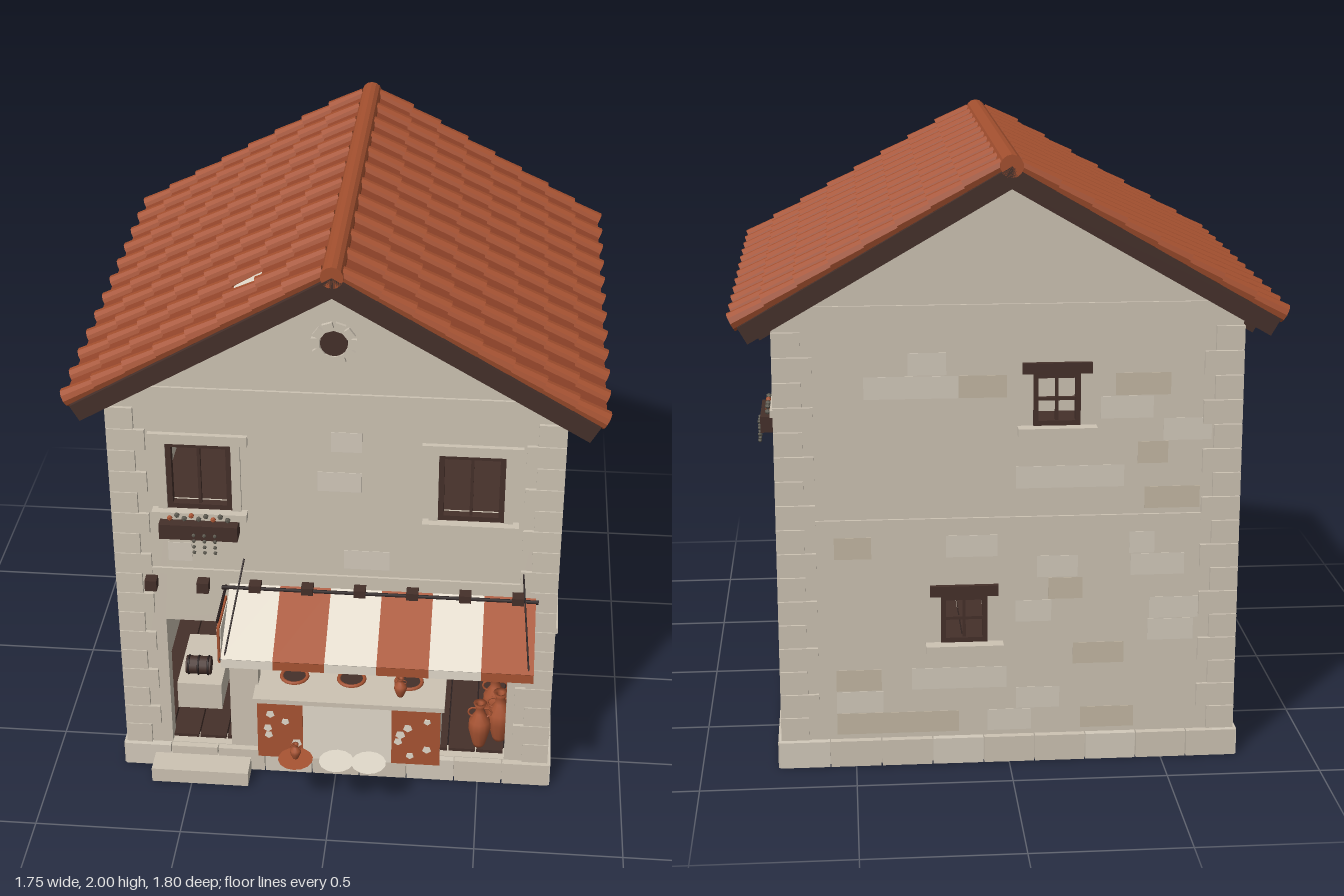
import * as THREE from 'three';
import { mergeGeometries } from 'three/addons/utils/BufferGeometryUtils.js';

const mat = (name, color, o = {}) => Object.assign(new THREE.MeshStandardMaterial({ color, ...o }), { name });
const M = {
  stone: mat('stone', 0xcdc3b3), stoneDark: mat('weatheredStone', 0xc4b8a4), stoneLight: mat('paleStone', 0xd3cabb),
  wood: mat('darkWood', 0x45302a), iron: mat('iron', 0x2a2020), roll: mat('coverTile', 0xa4502f, { flatShading: true }),
  pan: mat('panTile', 0x95462b), clay: mat('terracotta', 0xa85433), cream: mat('cream', 0xe2dacb), leaf: mat('leaf', 0x5d5a50),
};
const HALF = 0.73, ZC = -0.1; // body half width and its centre in z

function add(parent, name, geo, m, x = 0, y = 0, z = 0) {
  const mesh = new THREE.Mesh(geo, m);
  mesh.name = name;
  mesh.position.set(x, y, z);
  parent.add(mesh);
  return mesh;
}
const box = (p, name, m, w, h, d, x, y, z) => add(p, name, new THREE.BoxGeometry(w, h, d), m, x, y, z);
function group(p, name) {
  const g = new THREE.Group();
  g.name = name;
  p.add(g);
  return g;
}
function rod(p, name, m, a, b, r = 0.005) {
  const A = new THREE.Vector3(...a), B = new THREE.Vector3(...b), d = B.clone().sub(A);
  const mesh = add(p, name, new THREE.CylinderGeometry(r, r, d.length(), 6), m);
  mesh.position.copy(A).add(B).multiplyScalar(0.5);
  mesh.quaternion.setFromUnitVectors(new THREE.Vector3(0, 1, 0), d.normalize());
}
// Two-handled jar of height h standing on y
function jar(p, x, y, z, h, fat = 1) {
  const prof = [[0, 0], [0.1, 0], [0.13, 0.08], [0.21, 0.4], [0.2, 0.6], [0.09, 0.78], [0.08, 0.9], [0.13, 1], [0.06, 0.98], [0.05, 0.8]];
  const g = group(p, 'jar');
  g.position.set(x, y, z);
  add(g, 'jarBody', new THREE.LatheGeometry(prof.map(([r, t]) => new THREE.Vector2(r * h * fat, t * h)), 12), M.clay);
  for (const s of [-1, 1]) add(g, 'jarHandle', new THREE.TorusGeometry(h * 0.1, h * 0.02, 5, 10), M.clay, s * h * 0.12 * fat, h * 0.78, 0);
}

// One wall with rectangular openings [u, v, w, h] (centre and size)
function wall(side, top, halfW, holes) {
  const pts = [[-halfW, 0], [halfW, 0], ...top].map(([x, y]) => new THREE.Vector2(x, y));
  const shape = new THREE.Shape(pts);
  for (const [u, v, w, h] of holes) shape.holes.push(new THREE.Path([[-1, -1], [-1, 1], [1, 1], [1, -1]]
    .map(([a, b]) => new THREE.Vector2(u + a * w / 2, v + b * h / 2))));
  add(side, 'wall', new THREE.ExtrudeGeometry(shape, { depth: 0.06, bevelEnabled: false }), M.stone, 0, 0, -0.06);
}
function bars(g, w, h, t) {
  for (const s of [-1, 1]) {
    box(g, 'frameSide', M.wood, t, h, 0.03, s * (w - t) / 2, 0, -0.01);
    box(g, 'frameRail', M.wood, w, t, 0.03, 0, s * (h - t) / 2, -0.01);
  }
  box(g, 'mullion', M.wood, 0.01, h, 0.015, 0, 0, -0.01);
}
// Large window with stone surround
function bigWindow(side, [u, v, w, h], planter) {
  const g = group(side, 'largeWindow');
  g.position.set(u, v, 0);
  bars(g, w, h, 0.018);
  for (const s of [-1, 1]) box(g, 'jamb', M.stone, 0.03, h, 0.02, s * (w / 2 + 0.015), 0, 0.002);
  box(g, 'lintel', M.stone, w + 0.11, 0.035, 0.03, 0, h / 2 + 0.0175, 0.002);
  box(g, 'sill', M.stone, w + 0.1, 0.025, 0.05, 0, -h / 2 - 0.0125, 0.012);
  if (!planter) return;
  box(g, 'planter', M.wood, w + 0.045, 0.055, 0.06, 0, -h / 2 - 0.055, 0.04);
  for (let i = 0; i < 9; i++) add(g, 'plant', new THREE.IcosahedronGeometry(0.01, 0), i % 3 ? M.leaf : M.clay, (i - 4) * 0.024, -h / 2 - 0.015 + (i % 2) * 0.012, 0.045);
  for (let i = 0; i < 3; i++) for (let k = 0; k < 4; k++)
    add(g, 'trailingLeaf', new THREE.IcosahedronGeometry(0.007, 0), M.leaf, 0.0 + (i - 0.4) * 0.035, -h / 2 - 0.06 - k * 0.022, 0.075);
}
// Small barred window with timber lintel
function smallWindow(side, [u, v, w, h]) {
  const g = group(side, 'smallWindow');
  g.position.set(u, v, 0);
  bars(g, w, h, 0.016);
  box(g, 'crossbar', M.wood, w, 0.01, 0.015, 0, 0, -0.01);
  box(g, 'timberLintel', M.wood, w + 0.07, 0.035, 0.035, 0, h / 2 + 0.0175, 0);
  box(g, 'sill', M.stone, w + 0.1, 0.028, 0.07, 0, -h / 2 - 0.014, 0.01);
}

let seed = 7;
const rnd = () => (seed = (seed * 16807) % 2147483647) / 2147483647;
// Scattered facing stones in slightly different tones
function facing(side, holes, y0) {
  for (let y = y0; y < 1.4; y += 0.075) for (let u = -0.56; u < 0.5;) {
    const w = 0.08 + rnd() * 0.1, c = u + w / 2, m = rnd() < 0.5 ? M.stoneDark : M.stoneLight;
    const clear = holes.every(([a, b, W, H]) => Math.abs(a - c) > W / 2 + w / 2 + 0.06 || Math.abs(b - y) > H / 2 + 0.1);
    if (rnd() < 0.3 && clear && Math.abs(y - 0.825) > 0.055) box(side, 'facingStone', m, w, 0.072, 0.004, c, y, 0);
    u += w;
  }
}

function walls(root) {
  const gable = [[HALF, 1.475], [0, 1.9], [-HALF, 1.475]], flat = [[0.67, 1.48], [-0.67, 1.48]];
  const sides = [
    { name: 'frontWall', a: 0, big: [[-0.445, 1.2, 0.215, 0.25], [0.445, 1.2, 0.215, 0.25]], small: [], planter: 0,
      open: [[-0.475, 0.355, 0.21, 0.53], [0.16, 0.385, 0.86, 0.59]], y0: 0.9 },
    { name: 'leftWall', a: Math.PI / 2, big: [[0.16, 1.205, 0.19, 0.235], [-0.17, 0.48, 0.19, 0.23]], small: [], planter: 0, open: [], y0: 0.14 },
    { name: 'backWall', a: Math.PI, big: [], small: [[0.15, 1.22, 0.15, 0.17], [-0.145, 0.495, 0.15, 0.16]], open: [], y0: 0.14 },
    { name: 'rightWall', a: -Math.PI / 2, big: [], small: [[0.09, 1.22, 0.14, 0.17], [-0.01, 0.495, 0.14, 0.16]], open: [], y0: 0.14 },
  ];
  sides.forEach((d, i) => {
    const pivot = group(root, d.name);
    pivot.position.z = ZC;
    pivot.rotation.y = d.a;
    const s = group(pivot, 'wallFace'), isGable = i % 2 === 0;
    s.position.z = HALF;
    const holes = [...d.big, ...d.small, ...d.open];
    wall(s, isGable ? gable : flat, isGable ? HALF : 0.67, holes);
    d.big.forEach((w, k) => bigWindow(s, w, k === d.planter));
    d.small.forEach((w) => smallWindow(s, w));
    facing(s, holes, d.y0);
    box(s, 'stringCourse', M.stone, 1.47, 0.022, 0.012, 0, 0.825, 0.003);
    box(s, 'topBand', M.stone, isGable ? 1.37 : 1.46, 0.028, 0.012, 0, isGable ? 1.515 : 1.45, 0.003);
    // plinth stones
    for (let k = 0, n = 9, w = 1.5 / n; k < n; k++) box(s, 'plinthStone', k % 3 ? M.stone : M.stoneLight, w - 0.004, 0.088, 0.08, -0.75 + w * (k + 0.5), 0.044, -0.017);
    // round vent with its ring of stones
    if (i === 0) {
      add(s, 'roundVent', new THREE.CylinderGeometry(0.044, 0.044, 0.012, 20).rotateX(Math.PI / 2), M.wood, 0, 1.71, 0.002);
      for (let k = 0; k < 10; k++) {
        const t = k * Math.PI / 5;
        box(s, 'ventStone', M.stone, 0.028, 0.034, 0.02, Math.cos(t) * 0.058, 1.71 + Math.sin(t) * 0.058, 0.002).rotation.z = t;
      }
    }
    // exposed bricks
    if (i === 3) for (let k = 0; k < 9; k++)
      box(s, 'exposedBrick', M.clay, 0.055, 0.022, 0.009, -0.38 + (k % 3) * 0.06 + (k > 2 && k < 6 ? 0.02 : 0), 0.27 + Math.floor(k / 3) * 0.027, 0.002);
  });
  // corner stones alternate long and short
  for (const sx of [-1, 1]) for (const sz of [-1, 1]) for (let k = 0; k < 17; k++) {
    const lx = k % 2 ? 0.125 : 0.09, lz = k % 2 ? 0.09 : 0.125;
    box(root, 'cornerStone', M.stone, lx, 0.077, lz, sx * (0.742 - lx / 2), 0.13 + k * 0.08, ZC + sz * (0.742 - lz / 2));
  }
  box(root, 'underside', M.iron, 1.44, 0.01, 1.44, 0, 0.006, ZC);
  box(root, 'upperFloor', M.wood, 1.36, 0.03, 1.36, 0, 0.795, ZC);
  box(root, 'atticFloor', M.wood, 1.36, 0.02, 1.36, 0, 1.46, ZC);
  for (let k = 0; k < 14; k++) box(root, 'floorBoard', M.wood, 0.093, 0.02, 1.4, -0.637 + k * 0.098, 0.092, ZC);
  box(root, 'doorStep', M.stone, 0.34, 0.055, 0.12, -0.47, 0.0275, 0.685);
}

function roof(root) {
  const r = group(root, 'roof');
  r.position.set(0, 1.965, ZC);
  for (const s of [1, -1]) {
    const flip = group(r, s > 0 ? 'leftSlope' : 'rightSlope');
    flip.rotation.y = s > 0 ? 0 : Math.PI;
    const g = group(flip, 'slope');
    g.rotation.z = -Math.PI / 6;
    box(g, 'roofDeck', M.wood, 0.97, 0.06, 1.6, 0.485, -0.03, 0);
    const pans = [], rolls = [], P = 0.118;
    for (let i = 0; i < 8; i++) for (let j = 0; j < 12; j++) {
      const x = 0.03 + (i + 0.5) * P, z = 0.762 - j * 0.1385;
      rolls.push(new THREE.CylinderGeometry(0.024, 0.031, 0.135, 10).rotateZ(Math.PI / 2 + 0.05).translate(x, 0.016, z));
      if (j === 11) continue;
      if (s < 0 && i === 2 && j === 9) box(g, 'bareRoofPatch', M.cream, P, 0.009, 0.085, x, 0.012, z - 0.069);
      else pans.push(new THREE.BoxGeometry(0.13, 0.014, 0.13).rotateZ(0.09).translate(x, 0.012, z - 0.069));
    }
    add(g, 'coverTiles', mergeGeometries(rolls), M.roll);
    add(g, 'panTiles', mergeGeometries(pans), M.pan);
    for (let k = 0; k < 10; k++) box(g, 'rafterTail', M.wood, 0.14, 0.04, 0.03, 0.88, -0.07, -0.66 + k * 0.147);
  }
  add(r, 'ridgeCap', new THREE.CylinderGeometry(0.036, 0.036, 1.6, 14).rotateX(Math.PI / 2), M.roll);
}

function shop(root) {
  const g = group(root, 'shopFront');
  for (let k = 0; k < 8; k++) box(g, 'beamEnd', M.wood, 0.04, 0.04, 0.06, -0.62 + k * 0.176, 0.78, 0.64);
  // striped awning with valance
  const a = group(g, 'awning');
  for (let k = 0; k < 6; k++) {
    const x = -0.355 + (k + 0.5) * 0.171, m = k % 2 ? M.clay : M.cream;
    box(a, 'awningStripe', m, 0.171, 0.006, 0.282, x, 0.72, 0.765).rotation.x = 0.48;
    box(a, 'valance', m, 0.171, 0.035, 0.005, x, 0.64, 0.888);
  }
  rod(a, 'awningBar', M.iron, [-0.38, 0.78, 0.655], [0.68, 0.78, 0.655], 0.007);
  rod(a, 'awningFrontBar', M.iron, [-0.36, 0.652, 0.884], [0.67, 0.652, 0.884]);
  for (const [x, top] of [[-0.345, -0.305], [0.655, 0.625]]) {
    rod(a, 'awningRope', M.iron, [top, 0.885, 0.635], [x, 0.655, 0.885], 0.003);
    rod(a, 'awningStrut', M.wood, [x, 0.58, 0.635], [x, 0.65, 0.885], 0.007);
    box(a, 'strutFoot', M.wood, 0.02, 0.05, 0.02, x, 0.6, 0.64);
  }
  // hanging side sign
  rod(g, 'signBracket', M.iron, [-0.37, 0.77, 0.63], [-0.37, 0.77, 0.84]);
  box(g, 'signFrame', M.clay, 0.008, 0.14, 0.19, -0.37, 0.67, 0.74);
  box(g, 'signBoard', M.cream, 0.014, 0.115, 0.165, -0.37, 0.67, 0.74);
  // painted counter
  box(g, 'counter', M.cream, 0.63, 0.245, 0.25, 0.05, 0.222, 0.57);
  box(g, 'counterTop', M.stone, 0.66, 0.018, 0.28, 0.05, 0.35, 0.57);
  for (const [x, w] of [[-0.188, 0.158], [0.283, 0.168]]) {
    box(g, 'counterPanel', M.clay, w, 0.235, 0.006, x, 0.22, 0.697);
    for (let k = 0; k < 6; k++) add(g, 'plasterChip', new THREE.CylinderGeometry(0.012 + 0.008 * rnd(), 0.015, 0.005, 5).rotateX(Math.PI / 2), M.cream, x + (rnd() - 0.5) * w * 0.75, 0.14 + 0.03 * k, 0.7);
  }
  for (const x of [-0.15, 0.05, 0.25]) add(g, 'servingWell', new THREE.CylinderGeometry(0.045, 0.045, 0.006, 18), M.wood, x, 0.36, 0.57);
  for (const x of [-0.15, 0.05, 0.25]) add(g, 'wellRim', new THREE.TorusGeometry(0.045, 0.007, 6, 18).rotateX(Math.PI / 2), M.clay, x, 0.361, 0.57);
  jar(g, 0.225, 0.36, 0.65, 0.075, 1.4);
  // plates and a jar set out in front
  for (const x of [-0.12, 0.02, 0.13]) add(g, 'plate', new THREE.CylinderGeometry(0.06, 0.035, 0.01, 14), x < 0 ? M.clay : M.cream, x, 0.205, 0.835);
  jar(g, -0.12, 0.21, 0.83, 0.06, 1.5);
  // storage rack with jars
  const r = group(g, 'storageRack');
  for (const x of [-0.26, 0.345]) for (const z of [0.2, 0.32]) box(r, 'rackPost', M.clay, 0.014, 0.46, 0.014, x, 0.33, z);
  for (const y of [0.24, 0.395, 0.53]) box(r, 'rackShelf', M.clay, 0.62, 0.012, 0.13, 0.042, y, 0.26);
  for (let k = 0; k < 5; k++) {
    const x = -0.185 + k * 0.112, big = k % 2 === 0;
    jar(r, x, 0.401, 0.26, big ? 0.11 : 0.065, 1.1);
    jar(r, x, 0.536, 0.26, big ? 0.085 : 0.06, 1.2);
    rod(g, 'hangingCord', M.iron, [x, 0.68, 0.6], [x, 0.61, 0.6], 0.003);
    add(g, 'hangingHerbs', new THREE.ConeGeometry(0.018, 0.055, 7).rotateX(Math.PI), big ? M.leaf : M.clay, x, 0.585, 0.6);
  }
  jar(g, 0.5, 0.1, 0.57, 0.185);
  jar(g, 0.57, 0.1, 0.53, 0.205);
  jar(g, 0.55, 0.1, 0.43, 0.2);
  jar(g, 0.64, 0.44, 0.0, 0.07);
  // bench and cask beside the door
  box(g, 'bench', M.stone, 0.16, 0.11, 0.3, -0.51, 0.155, 0.3);
  add(g, 'cask', new THREE.CylinderGeometry(0.033, 0.033, 0.09, 12).rotateZ(Math.PI / 2), M.wood, -0.52, 0.243, 0.38);
  for (const x of [-0.555, -0.52, -0.485]) add(g, 'caskHoop', new THREE.TorusGeometry(0.033, 0.004, 5, 14).rotateY(Math.PI / 2), M.iron, x, 0.243, 0.38);
}

export function createModel() {
  const root = new THREE.Group();
  root.name = 'tiledShopHouse';
  walls(root);
  roof(root);
  shop(root);
  return root;
}
